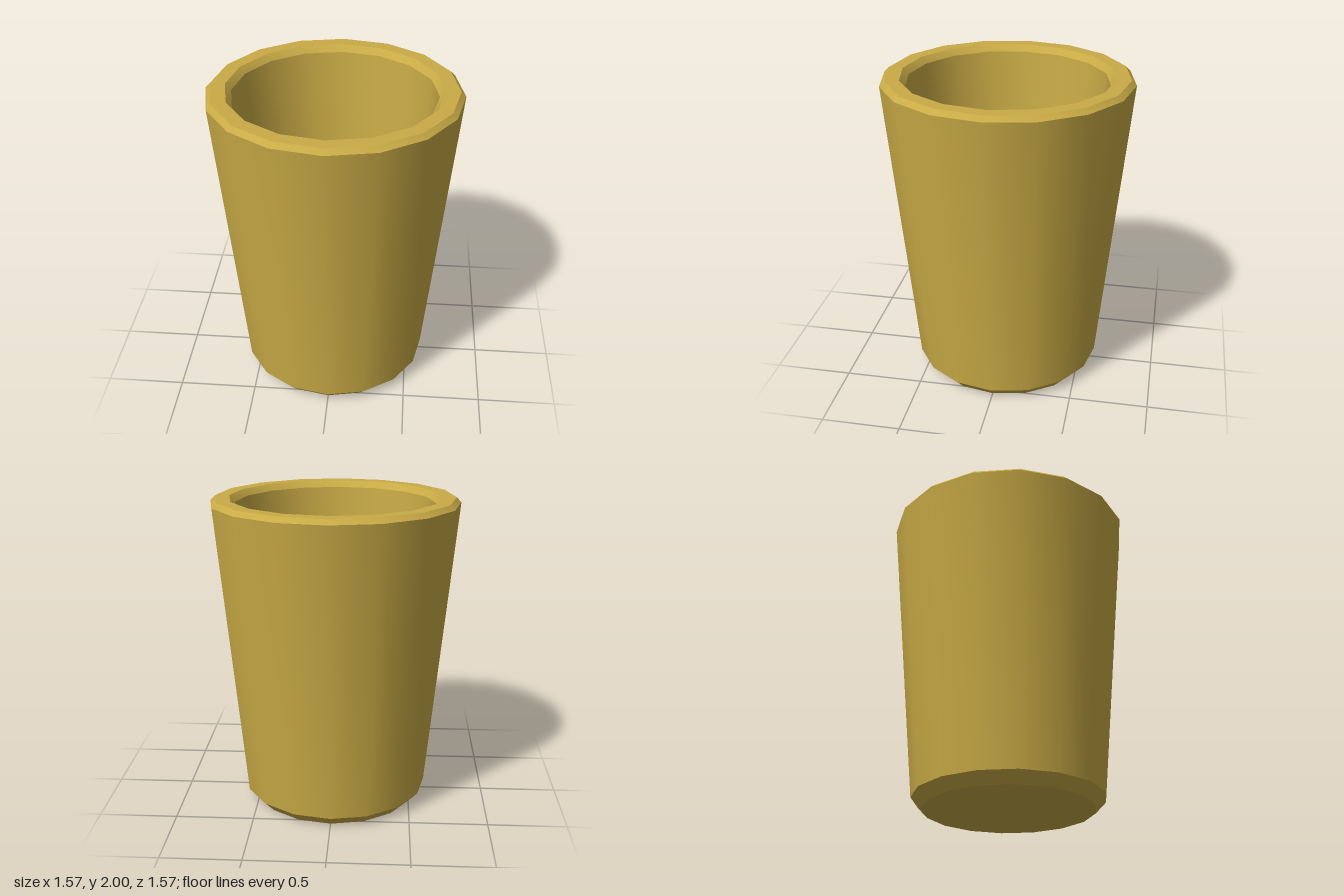
import * as THREE from 'three';
import { toCreasedNormals } from 'three/addons/utils/BufferGeometryUtils.js';

const SIDES = 16;

export function createModel() {
  const model = new THREE.Group();
  model.name = 'cup';

  // Closed profile: underside, outer wall, bevelled rim, inner wall, floor
  const profile = [
    [0, 0], [0.54, 0],            // underside
    [0.605, 0.07],                // foot bevel
    [0.785, 1.97],                // outer wall
    [0.755, 2], [0.665, 2],       // rim
    [0.63, 1.96],                 // inner rim bevel
    [0.49, 0.15], [0, 0.15],      // inner wall and floor
  ].map(([r, y]) => new THREE.Vector2(r, y));

  // Smooth around the wall, sharp at the bevels
  const geometry = toCreasedNormals(new THREE.LatheGeometry(profile, SIDES), Math.PI / 6);
  const body = new THREE.Mesh(geometry, new THREE.MeshStandardMaterial({ color: 0xc9ab46 }));
  body.name = 'cupBody';
  model.add(body);

  return model;
}
